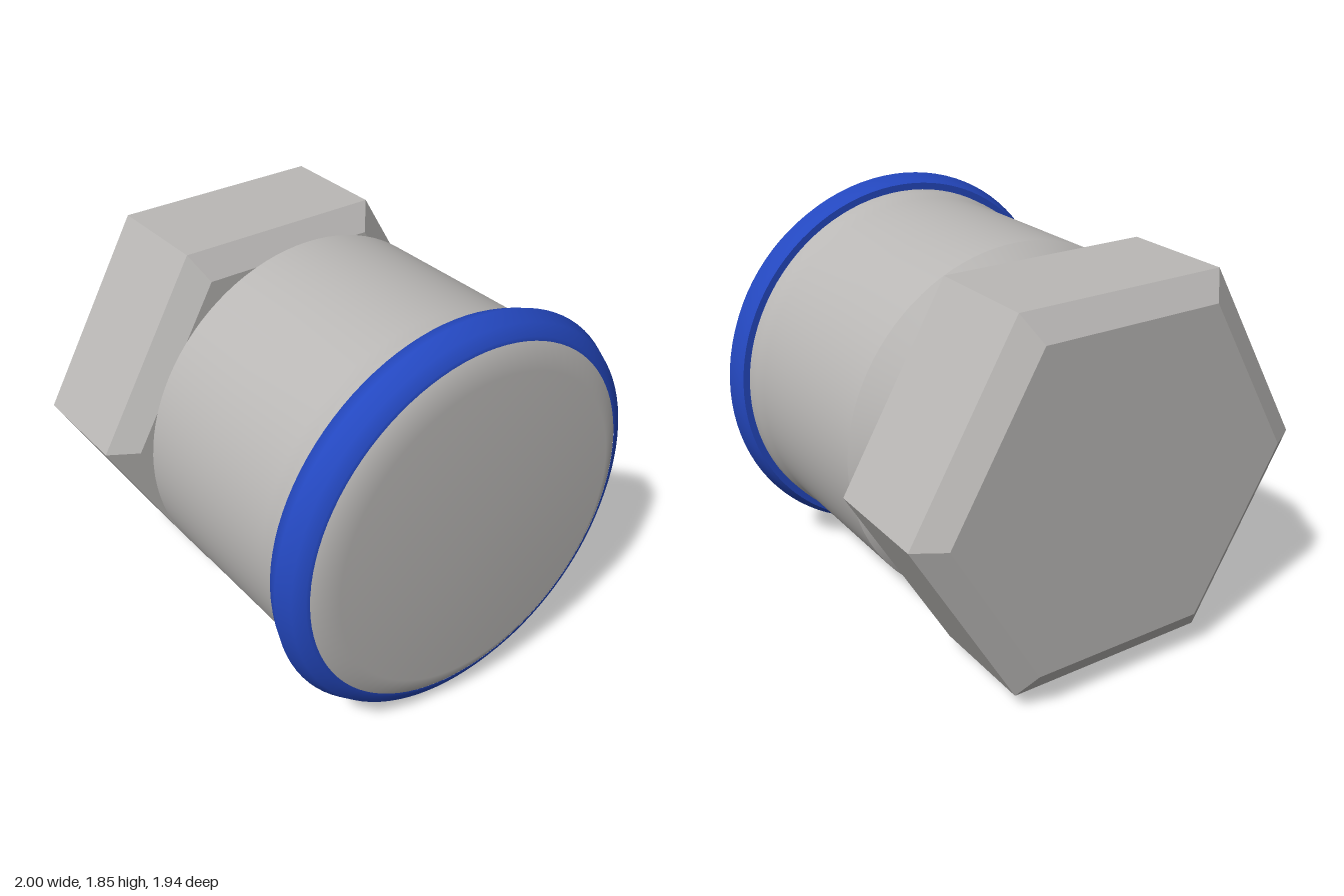
import * as THREE from 'three';

const steel = new THREE.MeshStandardMaterial({ color: 0xbab8b6 });
steel.name = 'steel grey';
const blue = new THREE.MeshStandardMaterial({ color: 0x2448c0 });
blue.name = 'seal blue';

// Turn a profile of [x along axis, radius] points around the x axis
function turned(name, profile, material, sides = 96) {
  const points = profile.map(([x, r]) => new THREE.Vector2(r, x));
  let geometry = new THREE.LatheGeometry(points, sides);
  geometry.rotateZ(-Math.PI / 2);
  if (sides < 12) {
    // Faceted part: one normal per face
    geometry = geometry.toNonIndexed();
    geometry.computeVertexNormals();
  }
  const mesh = new THREE.Mesh(geometry, material);
  mesh.name = name;
  return mesh;
}

export function createModel() {
  const group = new THREE.Group();
  group.name = 'pipePlug';
  const fitting = new THREE.Group();
  fitting.name = 'fitting';
  fitting.position.y = 0.925; // height of the axis
  group.add(fitting);

  // Hexagon head with chamfered ends, two corners on the z axis
  const corner = 2 / Math.sqrt(3);
  const hex = [[-1, 0], [-1, 0.725], [-0.92, 0.84], [-0.405, 0.84], [-0.325, 0.725], [-0.325, 0]];
  fitting.add(turned('hexHead', hex.map(([x, a]) => [x, a * corner]), steel, 6));

  // Conical shoulder and sleeve, split to keep the edge between them sharp
  fitting.add(turned('shoulder', [[-0.33, 0.725], [-0.2, 0.843]], steel));
  fitting.add(turned('sleeve', [[-0.2, 0.843], [0.2, 0.843], [0.64, 0.843], [0.7, 0.855], [0.775, 0.858]], steel));

  // Rounded coloured ring with a flat back wall
  fitting.add(turned('ringBack', [[0.77, 0.85], [0.77, 0.89]], blue));
  fitting.add(turned('ring', [
    [0.77, 0.89], [0.79, 0.901], [0.85, 0.925], [0.915, 0.893], [0.945, 0.845], [0.947, 0.828],
  ], blue));

  // Closed end with a softly shaded bevel
  fitting.add(turned('endCap', [[0.945, 0.83], [1, 0.725], [1, 0]], steel));

  return group;
}
